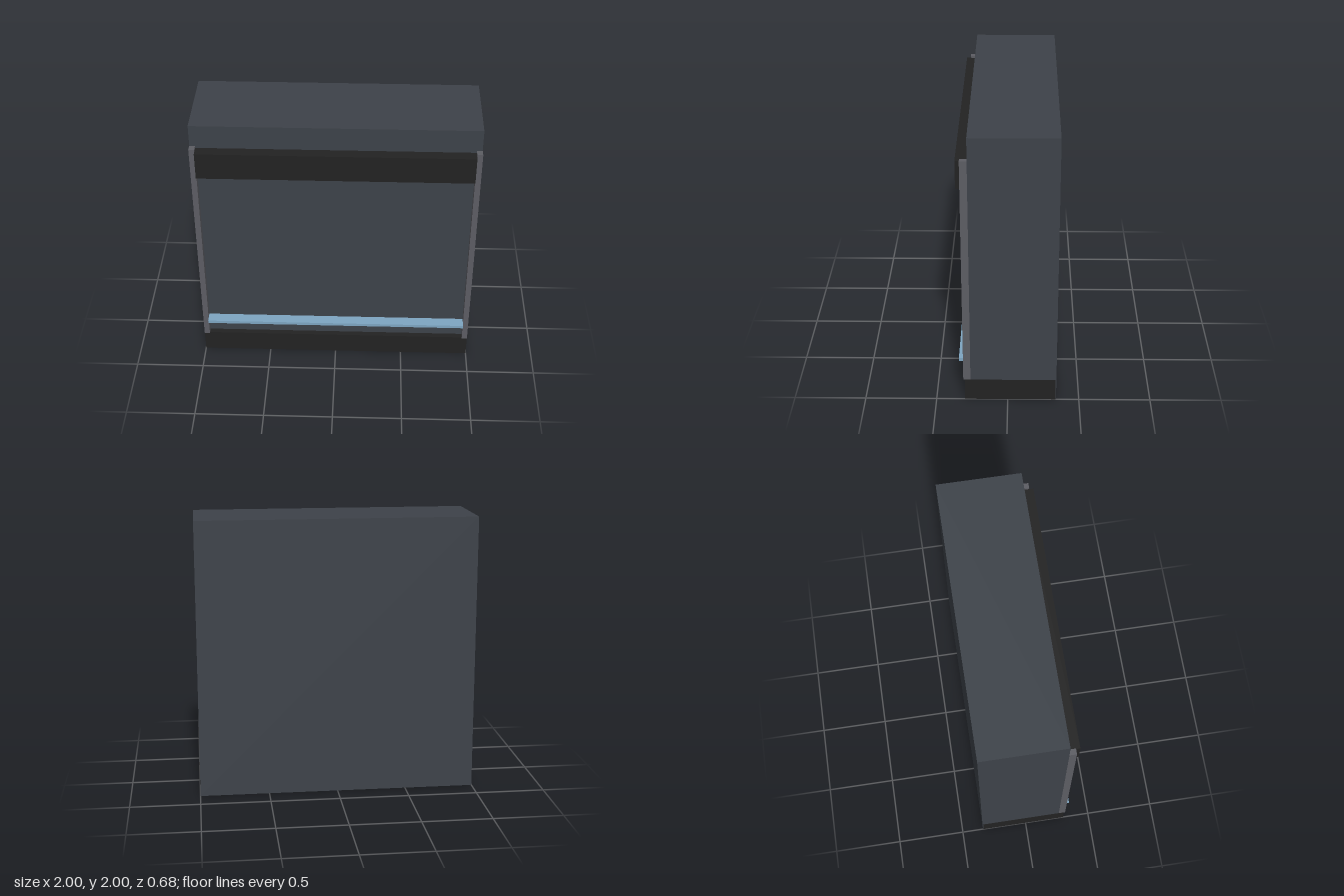
import * as THREE from 'three';

const material = (name, color) => {
  const m = new THREE.MeshStandardMaterial({ color });
  m.name = name;
  return m;
};

export function createModel() {
  const slate = material('slate', 0x3d4249);
  const black = material('black', 0x222222);
  const grey = material('rail grey', 0x5c5d63);
  const blue = material('light blue', 0x7ea6c2);

  const model = new THREE.Group();
  model.name = 'cabinet';

  // Box given by its extents on each axis
  const addBox = (name, mat, [x0, x1], [y0, y1], [z0, z1]) => {
    const mesh = new THREE.Mesh(new THREE.BoxGeometry(x1 - x0, y1 - y0, z1 - z0), mat);
    mesh.position.set((x0 + x1) / 2, (y0 + y1) / 2, (z0 + z1) / 2);
    mesh.name = name;
    model.add(mesh);
  };

  // Main case, a hair inside the plinth so their faces never coincide
  addBox('body', slate, [-0.999, 0.999], [0.001, 2], [-0.34, 0.26]);
  addBox('plinth', black, [-1, 1], [0, 0.163], [-0.335, 0.3]);

  // Upright rails at both front edges
  for (const [name, x] of [['leftRail', 0.98], ['rightRail', -0.98]]) {
    addBox(name, grey, [x - 0.02, x + 0.02], [0.163, 1.84], [0.26, 0.31]);
  }

  // Header panel and light strip between the rails
  addBox('header', black, [-0.96, 0.96], [1.625, 1.825], [0.26, 0.34]);
  addBox('lightStrip', blue, [-0.96, 0.96], [0.293, 0.316], [0.26, 0.34]);

  return model;
}
